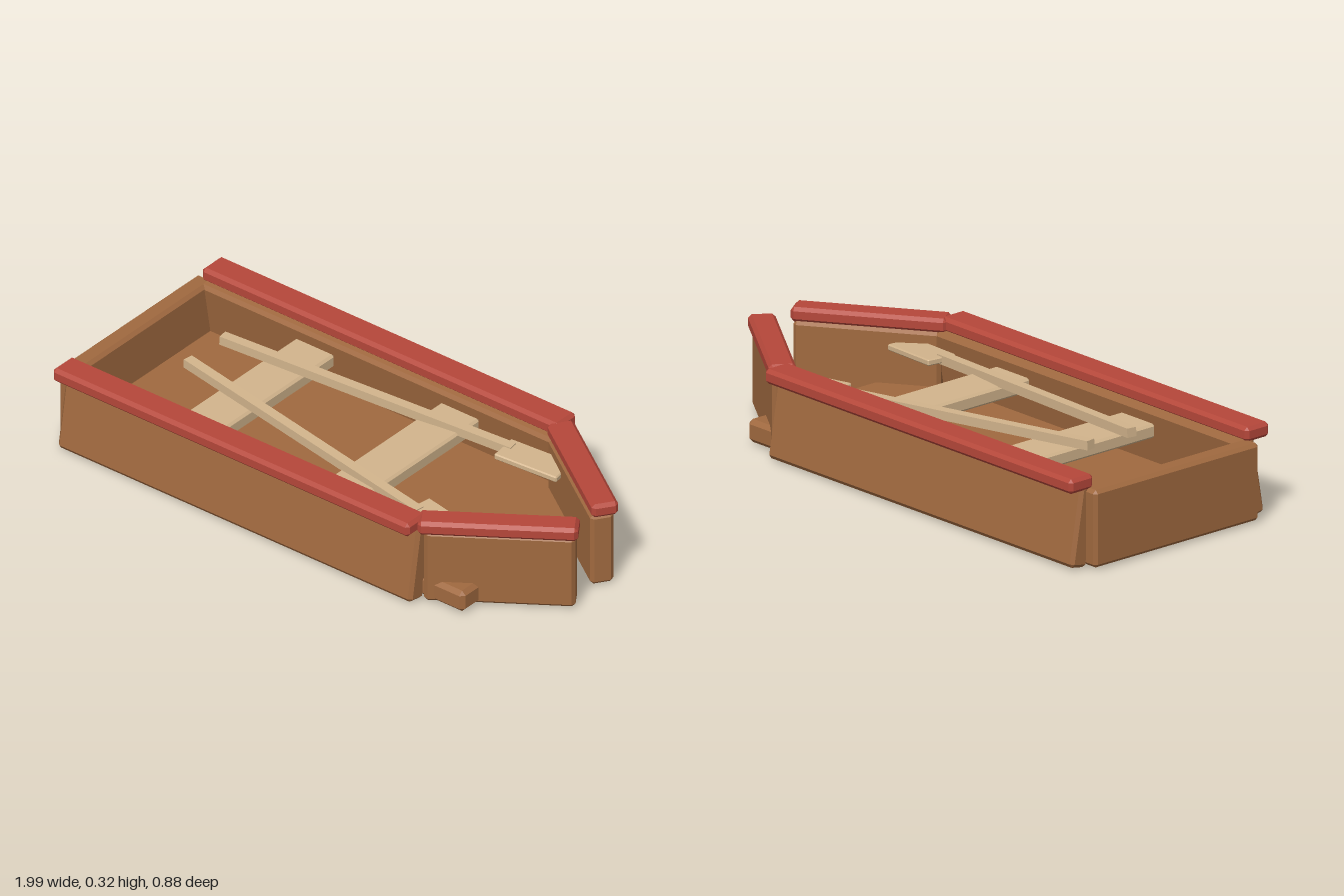
import * as THREE from 'three';
import { ConvexGeometry } from 'three/addons/geometries/ConvexGeometry.js';

const wood = new THREE.MeshStandardMaterial({ color: 0xa0693f });
const red = new THREE.MeshStandardMaterial({ color: 0xb5473a });
const pale = new THREE.MeshStandardMaterial({ color: 0xd2b48c });

// Box with every edge and corner chamfered by b
function chamferBox(w, h, d, b) {
  const points = [];
  for (const x of [-1, 1]) for (const y of [-1, 1]) for (const z of [-1, 1]) {
    const X = w / 2, Y = h / 2, Z = d / 2;
    points.push(
      new THREE.Vector3(x * X, y * (Y - b), z * (Z - b)),
      new THREE.Vector3(x * (X - b), y * Y, z * (Z - b)),
      new THREE.Vector3(x * (X - b), y * (Y - b), z * Z));
  }
  return new ConvexGeometry(points);
}

export function createModel() {
  const boat = new THREE.Group();
  boat.name = 'rowboat';

  function add(name, material, size, bevel, position, rotation = [0, 0, 0]) {
    const geometry = bevel ? chamferBox(...size, bevel) : new THREE.BoxGeometry(...size);
    const mesh = new THREE.Mesh(geometry, material);
    mesh.name = name;
    mesh.position.set(...position);
    mesh.rotation.set(...rotation);
    boat.add(mesh);
  }

  // Floor and stern board
  add('floor', wood, [1.67, 0.08, 0.73], 0.015, [-0.115, 0.05, 0]);
  add('transom', wood, [0.07, 0.27, 0.73], 0.012, [-0.96, 0.145, 0]);

  // Bench seats
  add('rearSeat', pale, [0.165, 0.05, 0.63], 0.008, [-0.455, 0.215, 0]);
  add('frontSeat', pale, [0.165, 0.05, 0.63], 0.008, [0.16, 0.215, 0]);

  for (const s of [1, -1]) {
    const side = s > 0 ? 'left' : 'right';

    // Leaning side plank with its rail
    add(side + 'SidePlank', wood, [1.5, 0.28, 0.072], 0.012, [-0.2, 0.146, s * 0.371], [-0.17 * s, 0, 0]);
    add(side + 'SideRail', red, [1.51, 0.052, 0.105], 0.012, [-0.205, 0.301, s * 0.39]);

    // Angled bow plank with its rail
    add(side + 'BowPlank', wood, [0.5, 0.27, 0.08], 0.012, [0.755, 0.144, s * 0.21], [0, 0.6 * s, 0]);
    add(side + 'BowRail', red, [0.53, 0.051, 0.092], 0.012, [0.755, 0.3, s * 0.22], [0, 0.6 * s, 0]);

    // Oar resting with its blade toward the bow
    add(side + 'OarShaft', pale, [1.12, 0.032, 0.036], 0, [-0.115, 0.265, s * 0.168], [0, -0.139 * s, -0.055]);
    add(side + 'OarBlade', pale, [0.24, 0.022, 0.11], 0.004, [0.53, 0.23, s * 0.24], [0, -0.139 * s, -0.055]);
  }
  return boat;
}
